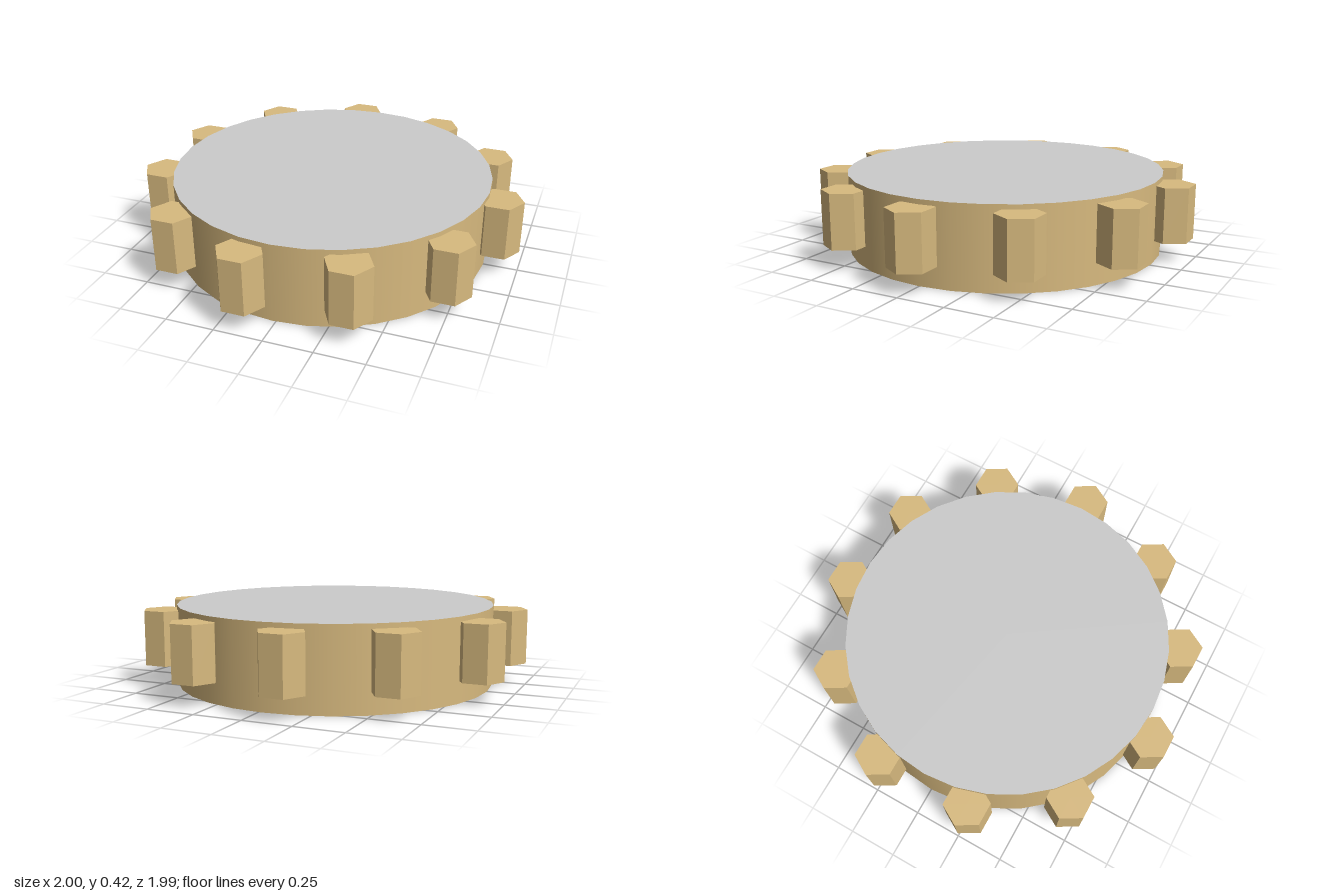
import * as THREE from 'three';

export function createModel() {
  const model = new THREE.Group();
  const tan = new THREE.MeshStandardMaterial({ color: 0xd8ba7f });
  const tanFlat = new THREE.MeshStandardMaterial({ color: 0xd8ba7f, flatShading: true });
  const grey = new THREE.MeshStandardMaterial({ color: 0xcccccc });

  const centreX = -0.018;
  const height = 0.42;

  // Round body: tan rim with grey top and bottom faces
  const body = new THREE.Mesh(new THREE.CylinderGeometry(0.84, 0.84, height, 32), [tan, grey, grey]);
  body.name = 'discBody';
  body.position.set(centreX, height / 2, 0);
  model.add(body);

  // Ring of hexagonal studs, all sharing one orientation (corners along x)
  const studs = new THREE.Group();
  studs.name = 'rimStuds';
  const studGeometry = new THREE.CylinderGeometry(0.118, 0.118, 0.285, 6).rotateY(Math.PI / 2);
  const count = 11;
  for (let i = 0; i < count; i++) {
    const angle = (i / count) * Math.PI * 2;
    const stud = new THREE.Mesh(studGeometry, tanFlat);
    stud.name = `stud${i + 1}`;
    stud.position.set(centreX + 0.9 * Math.cos(angle), 0.253, 0.9 * Math.sin(angle));
    studs.add(stud);
  }
  model.add(studs);

  return model;
}
